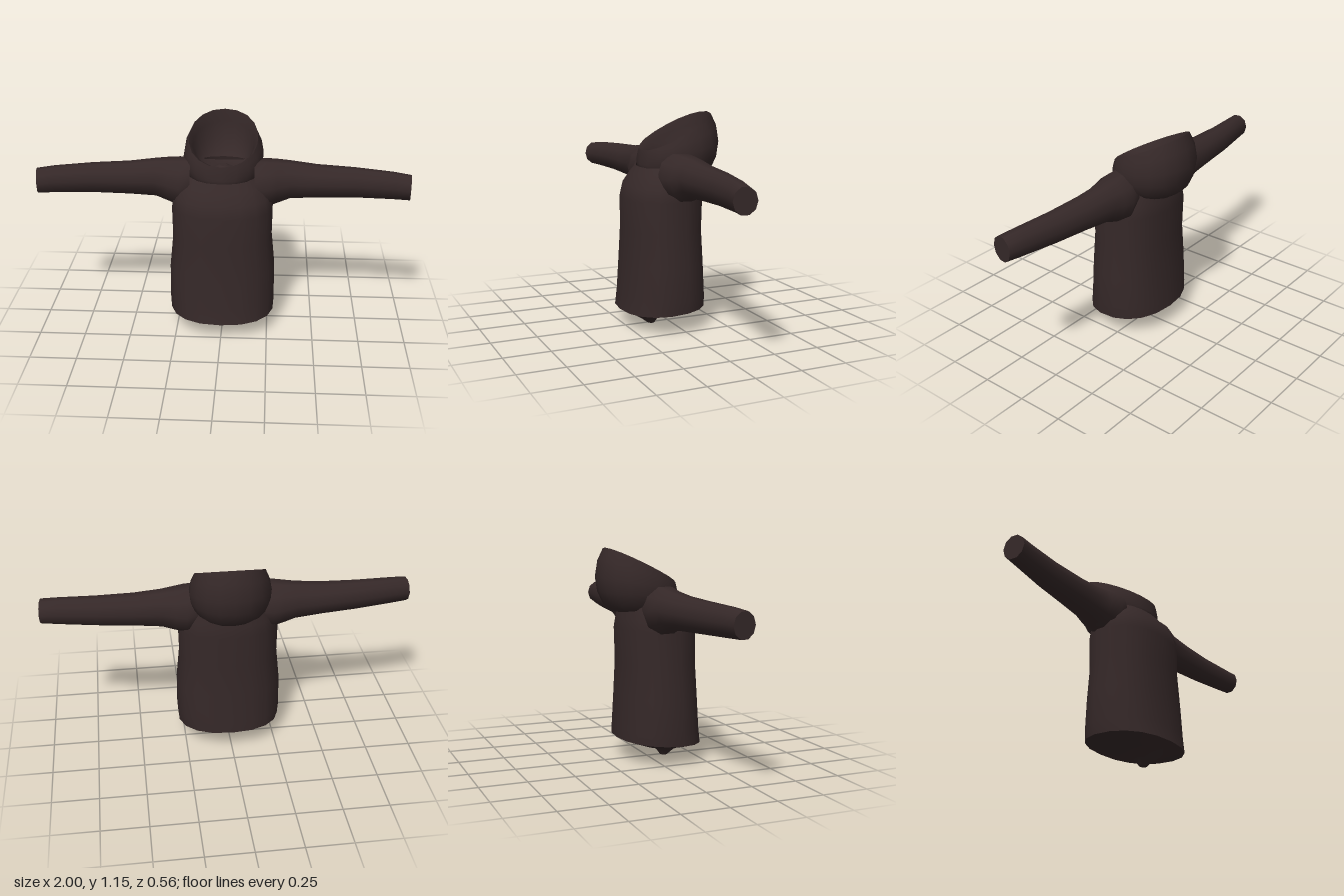
import * as THREE from 'three';

const cloth = new THREE.MeshStandardMaterial({ color: 0x352828, side: THREE.DoubleSide });
cloth.name = 'dark brown cloth';

// Skin a list of closed rings (arrays of [x, y, z]); optionally close the first or last ring
function loft(name, rings, closeStart = false, closeEnd = false) {
  const n = rings[0].length;
  const pos = rings.flat(2);
  const index = [];
  for (let i = 0; i < rings.length - 1; i++) {
    for (let j = 0; j < n; j++) {
      const a = i * n + j, b = i * n + (j + 1) % n;
      index.push(a, b, a + n, b, b + n, a + n);
    }
  }
  const close = (ring, flip) => {
    const base = pos.length / 3;
    const centre = [0, 1, 2].map(k => ring.reduce((s, p) => s + p[k], 0) / n);
    pos.push(...ring.flat(), ...centre);
    for (let j = 0; j < n; j++) {
      const a = base + j, b = base + (j + 1) % n;
      index.push(...(flip ? [b, a, base + n] : [a, b, base + n]));
    }
  };
  if (closeStart) close(rings[0], true);
  if (closeEnd) close(rings[rings.length - 1], false);
  const g = new THREE.BufferGeometry();
  g.setAttribute('position', new THREE.Float32BufferAttribute(pos, 3));
  g.setIndex(index);
  g.computeVertexNormals();
  const mesh = new THREE.Mesh(g, cloth);
  mesh.name = name;
  return mesh;
}

const soft = (v, p) => Math.sign(v) * Math.abs(v) ** p;

// Tilted oval ring given by its front and back (z, y) and its half width
function oval([zf, yf, zb, yb, w], p = 1, n = 18) {
  return Array.from({ length: n }, (_, j) => {
    const t = (j / n) * Math.PI * 2;
    const c = soft(Math.cos(t), p), s = soft(Math.sin(t), p);
    return [w * s, (yf + yb) / 2 + (yf - yb) / 2 * c, (zf + zb) / 2 + (zf - zb) / 2 * c];
  });
}

// Sleeve ring: distance out, low and high y, back and front z
function sleeveRing([x, y0, y1, z0, z1], side, n = 10) {
  return Array.from({ length: n }, (_, j) => {
    const t = ((j + 0.5) / n) * Math.PI * 2 * side;
    const s = Math.sin(t);
    const slant = x > 0.95 ? 0.008 * s : 0;
    return [side * (x - slant), (y0 + y1) / 2 + (y1 - y0) / 2 * Math.cos(t) * 1.04,
      (z0 + z1) / 2 + (z1 - z0) / 2 * s];
  });
}

export function createModel() {
  const model = new THREE.Group();
  model.name = 'hooded top';

  // Body, from the hem up to the neck
  const hem = [0.28, 0.095, -0.18, 0.122, 0.285];
  model.add(loft('body', [
    hem,
    [0.268, 0.18, -0.178, 0.18, 0.29],
    [0.255, 0.36, -0.167, 0.36, 0.288],
    [0.247, 0.54, -0.16, 0.54, 0.27],
    [0.247, 0.70, -0.165, 0.72, 0.273],
    [0.23, 0.77, -0.155, 0.78, 0.262],
    [0.19, 0.83, -0.145, 0.85, 0.235],
    [0.16, 0.87, -0.13, 0.92, 0.19],
  ].map(r => oval(r, 0.88))));

  // Crumpled lining that closes the bottom
  model.add(loft('bottom lining', [
    oval([0.12, 0, 0.08, 0, 0.025]),
    oval([0.16, 0.03, 0.05, 0.04, 0.05]),
    oval([0.22, 0.065, -0.03, 0.062, 0.14]),
    oval(hem, 0.88),
  ], true));

  // Hood shell, thrown back, with a tilted rim
  const rim = [0.15, 0.96, -0.24, 1.155, 0.185];
  model.add(loft('hood', [
    [0.15, 0.845, -0.12, 0.815, 0.15],
    [0.16, 0.87, -0.195, 0.815, 0.175],
    [0.16, 0.885, -0.24, 0.85, 0.198],
    [0.158, 0.905, -0.272, 0.92, 0.213],
    [0.156, 0.925, -0.284, 1.0, 0.216],
    [0.153, 0.945, -0.27, 1.09, 0.205],
    rim,
  ].map(r => oval(r, 0.95))));

  // Hollow inside of the hood, with folded cloth at the bottom
  model.add(loft('hood lining', [
    oval(rim, 0.95),
    ...[
      [0.125, 0.95, -0.232, 1.09, 0.165],
      [0.10, 0.93, -0.225, 1.0, 0.155],
      [0.08, 0.905, -0.17, 0.91, 0.125],
      [0.06, 0.89, -0.09, 0.885, 0.085],
      [0.02, 0.92, -0.03, 0.92, 0.02],
    ].map(r => oval(r)),
  ], false, true));

  // Sleeves, closed at the cuff
  const sleeve = [
    [0.17, 0.72, 0.955, -0.10, 0.13],
    [0.23, 0.70, 0.955, -0.11, 0.135],
    [0.29, 0.72, 0.95, -0.105, 0.115],
    [0.36, 0.745, 0.943, -0.092, 0.092],
    [0.50, 0.755, 0.928, -0.075, 0.09],
    [0.70, 0.763, 0.92, -0.052, 0.09],
    [0.90, 0.768, 0.91, -0.015, 0.108],
    [0.992, 0.77, 0.90, 0.003, 0.125],
  ];
  for (const side of [1, -1]) {
    model.add(loft(side > 0 ? 'leftSleeve' : 'rightSleeve',
      sleeve.map(r => sleeveRing(r, side)), false, true));
  }
  return model;
}
